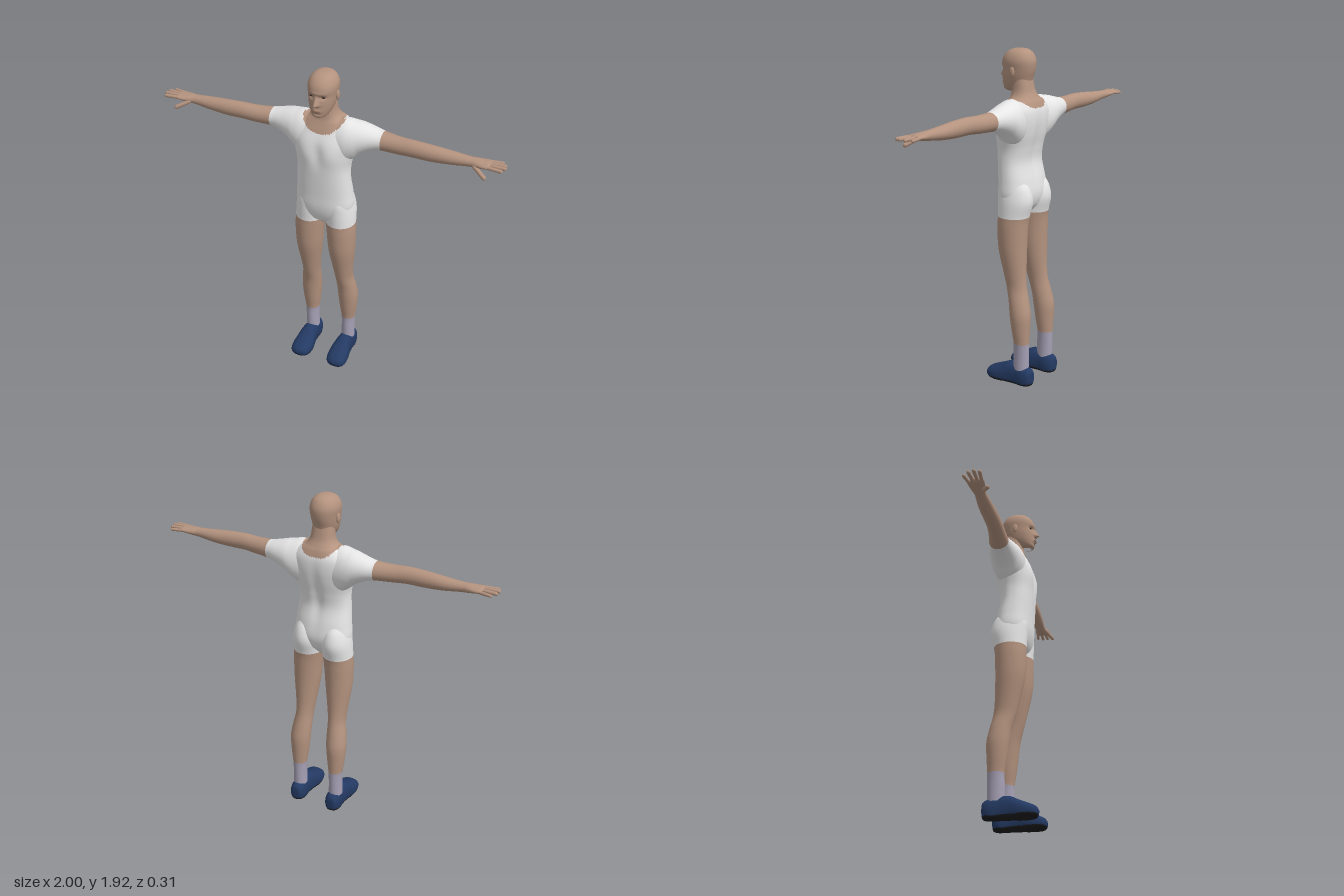
import * as THREE from 'three';

const mat = (name, color) => Object.assign(new THREE.MeshStandardMaterial({ color }), { name });
const skin = mat('skin', 0xb4937f);
const cloth = mat('white cloth', 0xe6e6e6);
const sock = mat('sock grey', 0xa5a0b4);
const shoeBlue = mat('shoe blue', 0x243a63);
const soleBlack = mat('sole black', 0x1c1c1e);
const dark = mat('eye dark', 0x2b2220);
const lip = mat('lip brown', 0x8c6454);
const palette = [skin, cloth, sock, shoeBlue, soleBlack];
const SKIN = 0, CLOTH = 1, SOCK = 2, BLUE = 3, BLACK = 4;

const bump = (d, width) => Math.exp(-((d / width) ** 2));

// Smooth skin through sections [t, a0, a1, b0, b1]: the bounds of each ring along an axis.
// axis y: a = z, b = x;  axis x: a = y, b = z;  axis z: a = x, b = y.
function loft(axis, sections, { sides = 32, steps = 5, power = 2, shape } = {}) {
  const last = sections.length - 1;
  const spline = new THREE.CubicInterpolant(sections.map((_, i) => i), sections.flat(), 5, new Array(5));
  const pos = [], index = [], p = new THREE.Vector3();
  const names = { y: ['z', 'x'], x: ['y', 'z'], z: ['x', 'y'] }[axis];
  const round = (v) => Math.sign(v) * Math.abs(v) ** (2 / power);
  const rows = last * steps;
  for (let r = 0; r <= rows; r++) {
    const [t, a0, a1, b0, b1] = spline.evaluate(r / steps);
    for (let s = 0; s < sides; s++) {
      const angle = (s / sides) * Math.PI * 2;
      p[axis] = t;
      p[names[0]] = (a0 + a1) / 2 + ((a1 - a0) / 2) * round(Math.cos(angle));
      p[names[1]] = (b0 + b1) / 2 + ((b1 - b0) / 2) * round(Math.sin(angle));
      if (shape) shape(p);
      pos.push(p.x, p.y, p.z);
      if (r < rows) {
        const i = r * sides + s, j = r * sides + ((s + 1) % sides);
        index.push(i, j, i + sides, j, j + sides, i + sides);
      }
    }
  }
  const g = new THREE.BufferGeometry();
  g.setAttribute('position', new THREE.Float32BufferAttribute(pos, 3));
  g.setIndex(index);
  g.computeVertexNormals();
  return g;
}

// Mirror a geometry across x = 0, keeping its faces outward
function mirrored(geometry) {
  const g = geometry.clone().scale(-1, 1, 1);
  const a = g.index.array;
  for (let i = 0; i < a.length; i += 3) [a[i], a[i + 1]] = [a[i + 1], a[i]];
  g.computeVertexNormals();
  return g;
}

// Sort faces into one material group per colour, chosen from each face centre
function paint(g, rule) {
  const bins = palette.map(() => []), P = g.attributes.position, ix = g.index.array;
  const c = new THREE.Vector3(), v = new THREE.Vector3();
  for (let i = 0; i < ix.length; i += 3) {
    c.set(0, 0, 0);
    for (let k = 0; k < 3; k++) c.add(v.fromBufferAttribute(P, ix[i + k]));
    bins[rule(c.divideScalar(3))].push(ix[i], ix[i + 1], ix[i + 2]);
  }
  g.setIndex(bins.flat());
  let start = 0;
  bins.forEach((b, m) => { if (b.length) g.addGroup(start, b.length, m); start += b.length; });
  return g;
}

// Clothing borders: socks, leg openings, sleeves and scooped neckline
function bodyColour(p) {
  const x = Math.abs(p.x);
  if (p.y < 0.25) return SOCK;
  if (p.y < 0.995 || x > 0.325) return SKIN;
  const collar = (p.z > 0 ? 1.585 : 1.605) + 0.06 * (x / 0.115) ** 3;
  return x < 0.12 && p.y > collar ? SKIN : CLOTH;
}

// Chest muscles and spine groove
function shapeTorso(p) {
  const x = Math.abs(p.x);
  if (p.z > 0.03) p.z += 0.008 * (bump(x - 0.075, 0.05) - bump(x, 0.03)) * bump(p.y - 1.47, 0.07);
  if (p.z < -0.03) p.z += 0.012 * bump(x, 0.03) * bump(p.y - 1.38, 0.16);
}

// Nose, eye sockets, brow, lips and chin
function shapeFace(p) {
  if (p.z < 0.05) return;
  const x = Math.abs(p.x), { y } = p;
  const nose = y > 1.772 ? Math.max(0, (1.825 - y) / 0.053) : Math.max(0, (y - 1.757) / 0.015);
  p.z += 0.03 * nose * bump(x, 0.008 + 0.007 * nose)
    - 0.011 * bump(x - 0.032, 0.016) * bump(y - 1.812, 0.011)
    + 0.004 * bump(x, 0.05) * bump(y - 1.835, 0.01)
    + 0.006 * bump(x, 0.02) * bump(y - 1.737, 0.011)
    - 0.005 * bump(x, 0.025) * bump(y - 1.717, 0.007);
}

const torso = [
  [0.99, -0.03, 0.04, -0.03, 0.03], [1.02, -0.06, 0.07, -0.11, 0.11],
  [1.06, -0.092, 0.09, -0.15, 0.15], [1.12, -0.108, 0.103, -0.168, 0.168],
  [1.2, -0.1, 0.107, -0.162, 0.162], [1.3, -0.08, 0.113, -0.153, 0.153],
  [1.38, -0.09, 0.117, -0.153, 0.153], [1.46, -0.108, 0.117, -0.17, 0.17],
  [1.53, -0.117, 0.108, -0.183, 0.183], [1.59, -0.115, 0.085, -0.172, 0.172],
  [1.635, -0.1, 0.064, -0.13, 0.13], [1.66, -0.085, 0.055, -0.088, 0.088],
  [1.69, -0.07, 0.052, -0.069, 0.069], [1.74, -0.058, 0.05, -0.062, 0.062],
  [1.78, -0.05, 0.05, -0.058, 0.058],
];
const head = [
  [1.688, 0.03, 0.1, -0.022, 0.022], [1.7, 0, 0.115, -0.042, 0.042],
  [1.73, -0.045, 0.12, -0.06, 0.06], [1.77, -0.062, 0.12, -0.071, 0.071],
  [1.81, -0.074, 0.118, -0.076, 0.076], [1.85, -0.078, 0.119, -0.08, 0.08],
  [1.88, -0.07, 0.108, -0.074, 0.074], [1.905, -0.053, 0.086, -0.058, 0.058],
  [1.92, -0.025, 0.055, -0.033, 0.033], [1.925, 0.012, 0.012, 0, 0],
];
const arm = [
  [0.04, 1.4, 1.652, -0.09, 0.08], [0.12, 1.4, 1.658, -0.105, 0.088],
  [0.17, 1.43, 1.65, -0.11, 0.08], [0.21, 1.465, 1.643, -0.107, 0.065],
  [0.27, 1.497, 1.628, -0.095, 0.045], [0.325, 1.511, 1.616, -0.08, 0.034],
  [0.42, 1.515, 1.611, -0.06, 0.035], [0.5, 1.52, 1.613, -0.05, 0.037],
  [0.6, 1.52, 1.609, -0.048, 0.036], [0.7, 1.527, 1.601, -0.048, 0.03],
  [0.8, 1.54, 1.593, -0.04, 0.022], [0.84, 1.545, 1.592, -0.046, 0.028],
  [0.88, 1.553, 1.589, -0.053, 0.036], [0.91, 1.56, 1.587, -0.05, 0.034],
  [0.92, 1.574, 1.574, -0.008, -0.008],
];
const leg = [
  [0.09, -0.125, -0.03, 0.08, 0.16], [0.18, -0.126, -0.03, 0.081, 0.159],
  [0.25, -0.126, -0.032, 0.078, 0.162], [0.33, -0.13, -0.02, 0.068, 0.172],
  [0.42, -0.133, -0.008, 0.06, 0.178], [0.5, -0.118, 0.003, 0.057, 0.17],
  [0.58, -0.1, 0.025, 0.055, 0.157], [0.66, -0.092, 0.045, 0.045, 0.162],
  [0.8, -0.09, 0.077, 0.025, 0.178], [0.92, -0.093, 0.085, 0.015, 0.182],
  [0.995, -0.1, 0.085, 0.008, 0.179], [1.08, -0.122, 0.09, 0.005, 0.174],
  [1.15, -0.11, 0.09, 0.02, 0.16], [1.2, -0.08, 0.07, 0.04, 0.14],
];
const shoe = [
  [-0.153, 0.118, 0.118, 0.05, 0.05], [-0.147, 0.088, 0.15, 0, 0.09],
  [-0.11, 0.072, 0.165, -0.03, 0.11], [-0.05, 0.072, 0.165, -0.03, 0.12],
  [0, 0.066, 0.17, -0.03, 0.119], [0.05, 0.057, 0.178, -0.03, 0.096],
  [0.1, 0.058, 0.18, -0.02, 0.075], [0.14, 0.075, 0.165, 0, 0.055],
  [0.155, 0.12, 0.12, 0.03, 0.03],
];
// Base and tip of each finger, thumb last, with radius
const fingers = [
  [[0.89, 1.572, -0.042], [0.965, 1.57, -0.055], 0.009],
  [[0.89, 1.574, -0.019], [0.985, 1.573, -0.025], 0.01],
  [[0.89, 1.575, 0.003], [0.99, 1.575, 0.005], 0.01],
  [[0.89, 1.573, 0.024], [0.978, 1.573, 0.033], 0.01],
  [[0.835, 1.56, 0.018], [0.9, 1.528, 0.055], 0.012],
];

function fingerGeometry([from, to, radius]) {
  const a = new THREE.Vector3(...from), b = new THREE.Vector3(...to), d = b.clone().sub(a);
  const g = new THREE.CapsuleGeometry(radius, d.length(), 5, 12);
  g.applyQuaternion(new THREE.Quaternion().setFromUnitVectors(new THREE.Vector3(0, 1, 0), d.normalize()));
  return g.translate(...a.add(b).multiplyScalar(0.5).toArray());
}

const ellipsoid = (rx, ry, rz, x, y, z) => new THREE.SphereGeometry(1, 20, 14).scale(rx, ry, rz).translate(x, y, z);

export function createModel() {
  const model = new THREE.Group();
  model.name = 'standing figure';
  const add = (name, geometry, material) => {
    const mesh = new THREE.Mesh(geometry, material);
    mesh.name = name;
    model.add(mesh);
  };
  const addPair = (name, geometry, material, rule) => {
    const other = mirrored(geometry);
    add('left' + name, rule ? paint(geometry, rule) : geometry, material);
    add('right' + name, rule ? paint(other, rule) : other, material);
  };

  // Trunk and head
  add('torso', paint(loft('y', torso, { sides: 96, steps: 8, power: 2.3, shape: shapeTorso }), bodyColour), palette);
  add('head', loft('y', head, { sides: 112, steps: 10, power: 2.15, shape: shapeFace }), skin);
  add('mouth', ellipsoid(0.021, 0.003, 0.007, 0, 1.737, 0.122), lip);
  addPair('Eye', ellipsoid(0.012, 0.0045, 0.006, 0.032, 1.812, 0.1), dark);
  addPair('Ear', ellipsoid(0.009, 0.028, 0.016, 0.078, 1.8, 0.015).rotateY(0), skin);

  // Limbs
  addPair('Arm', loft('x', arm, { sides: 48, steps: 6 }), palette, bodyColour);
  fingers.forEach((f, i) => addPair(i < 4 ? 'Finger' + (i + 1) : 'Thumb', fingerGeometry(f), skin));
  addPair('Leg', loft('y', leg, { sides: 40, steps: 5 }), palette, bodyColour);

  // Shoes, flattened at the ground, with a dark sole
  const flatten = (p) => { p.y = Math.max(p.y, 0); };
  addPair('Shoe', loft('z', shoe, { sides: 48, steps: 6, power: 2.3, shape: flatten }), palette,
    (p) => (p.y < 0.012 ? BLACK : BLUE));
  return model;
}
